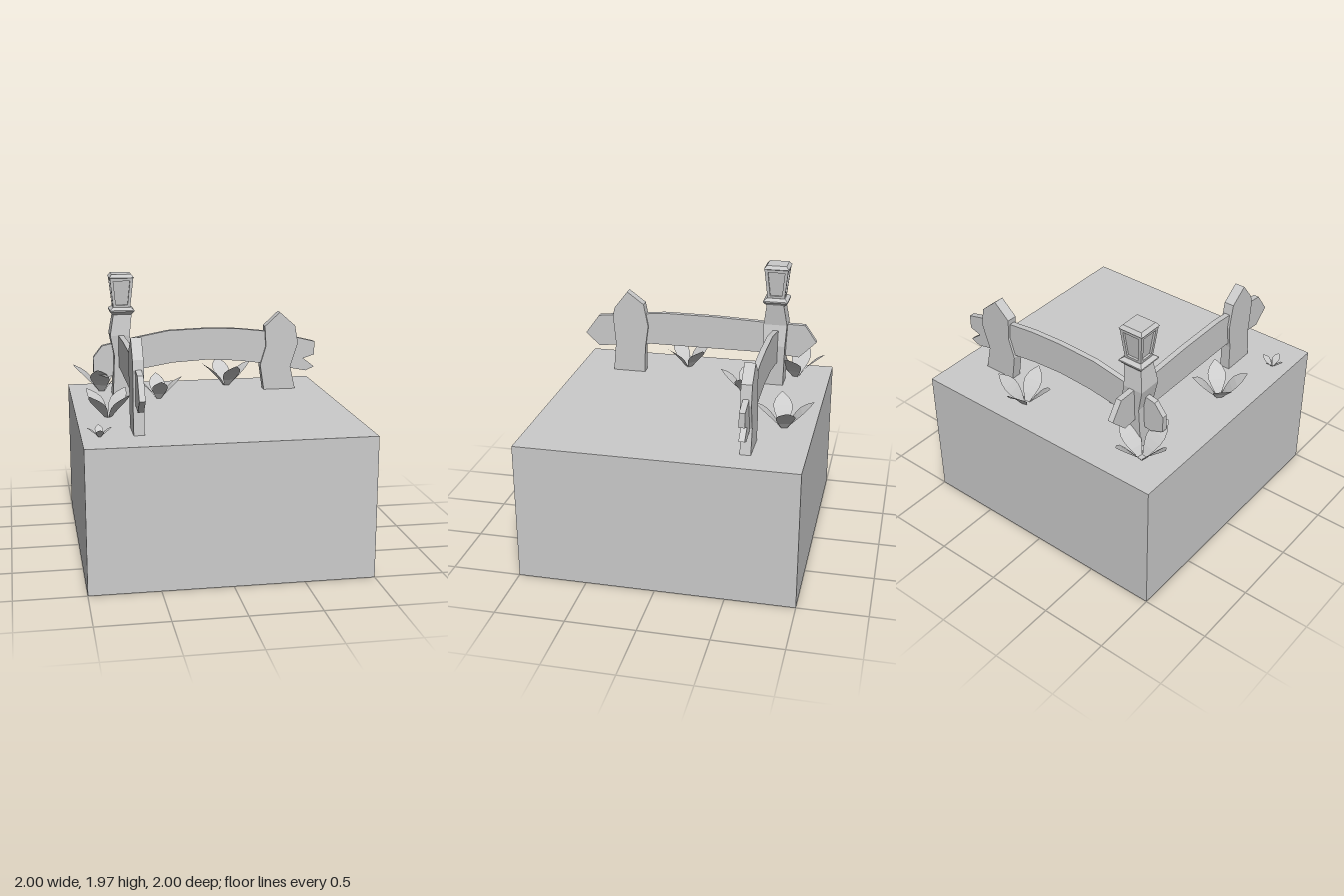
import * as THREE from 'three';

const grey = new THREE.MeshStandardMaterial({ color: 0xcccccc, flatShading: true });
const thin = new THREE.MeshStandardMaterial({ color: 0xcccccc, flatShading: true, side: THREE.DoubleSide });

function add(parent, name, geometry, material = grey) {
  const mesh = new THREE.Mesh(geometry, material);
  mesh.name = name;
  parent.add(mesh);
  return mesh;
}

const outline = (points) => new THREE.Shape(points.map(([x, y]) => new THREE.Vector2(x, y)));

// Flat board cut from an outline, centred on its thickness
function board(points, depth, hole) {
  const shape = outline(points);
  if (hole) shape.holes.push(outline(hole));
  return new THREE.ExtrudeGeometry(shape, { depth, bevelEnabled: false }).translate(0, 0, -depth / 2);
}

// Four-sided column through sections [y, centreX, centreZ, halfX, halfZ]
function column(sections) {
  const pos = [], idx = [];
  for (const [y, cx, cz, hx, hz] of sections) {
    for (const [sx, sz] of [[-1, 1], [1, 1], [1, -1], [-1, -1]]) pos.push(cx + sx * hx, y, cz + sz * hz);
  }
  for (let s = 0; s < sections.length - 1; s++) {
    for (let i = 0; i < 4; i++) {
      const a = s * 4 + i, b = s * 4 + (i + 1) % 4;
      idx.push(a, b, b + 4, a, b + 4, a + 4);
    }
  }
  const t = (sections.length - 1) * 4;
  idx.push(0, 2, 1, 0, 3, 2, t, t + 1, t + 2, t, t + 2, t + 3);
  const g = new THREE.BufferGeometry();
  g.setAttribute('position', new THREE.Float32BufferAttribute(pos, 3));
  g.setIndex(idx);
  const flat = g.toNonIndexed();
  flat.computeVertexNormals();
  return flat;
}

// Arching pointed leaf growing along +x; rows are [reach, rise, half width]
function leafGeometry() {
  const rows = [[0.1, 0, 0.09], [0.26, 0.26, 0.22], [0.42, 0.47, 0.31], [0.58, 0.65, 0.33],
    [0.76, 0.81, 0.25], [0.9, 0.92, 0.12], [1, 1, 0.01]];
  const g = new THREE.PlaneGeometry(1, 1, 1, rows.length - 1);
  const p = g.attributes.position;
  rows.forEach(([r, h, w], i) => {
    p.setXYZ(i * 2, r, h, -w);
    p.setXYZ(i * 2 + 1, r, h, w);
  });
  g.computeVertexNormals();
  return g;
}

export function createModel() {
  const model = new THREE.Group();
  model.name = 'fenceCorner';

  // Ground block
  add(model, 'groundBlock', new THREE.BoxGeometry(2, 1.02, 2).translate(0, 0.51, 0));

  // Rail and post running along x
  const fenceX = new THREE.Group();
  fenceX.name = 'backFence';
  fenceX.position.z = -0.59;
  model.add(fenceX);
  add(fenceX, 'backRail', board([
    [-0.82, 1.2], [-0.72, 1.16], [-0.5, 1.21], [-0.2, 1.26], [0.08, 1.275], [0.32, 1.26], [0.54, 1.23],
    [0.78, 1.18], [0.88, 1.16], [0.95, 1.19], [0.86, 1.26], [0.95, 1.29], [0.95, 1.395], [0.79, 1.435],
    [0.54, 1.49], [0.33, 1.515], [0.08, 1.525], [-0.23, 1.515], [-0.5, 1.465], [-0.75, 1.41], [-0.82, 1.32],
  ], 0.042));
  add(fenceX, 'backPost', board([
    [0.535, 1.02], [0.79, 1.02], [0.75, 1.2], [0.81, 1.39], [0.785, 1.53], [0.66, 1.64],
    [0.54, 1.53], [0.55, 1.37], [0.505, 1.22],
  ], 0.077));

  // Rail and post running along z
  const fenceZ = new THREE.Group();
  fenceZ.name = 'sideFence';
  fenceZ.position.x = -0.606;
  fenceZ.rotation.y = -Math.PI / 2;
  model.add(fenceZ);
  add(fenceZ, 'sideRail', board([
    [-0.9, 1.365], [-0.77, 1.235], [-0.5, 1.255], [0.4, 1.255], [0.65, 1.23], [0.83, 1.21], [0.94, 1.31],
    [0.83, 1.46], [0.7, 1.475], [0.45, 1.5], [0.3, 1.515], [-0.1, 1.515], [-0.5, 1.5], [-0.81, 1.495],
  ], 0.042));
  add(fenceZ, 'sidePost', board([
    [0.455, 1.02], [0.71, 1.02], [0.69, 1.25], [0.71, 1.47], [0.695, 1.54], [0.59, 1.675],
    [0.46, 1.58], [0.425, 1.4], [0.45, 1.22],
  ], 0.075));

  // Crooked lamp post
  const cx = -0.595, cz = -0.585;
  add(model, 'lampPost', column([
    [1.02, -0.595, -0.58, 0.08, 0.08], [1.34, -0.583, cz, 0.077, 0.082],
    [1.5, -0.615, cz, 0.075, 0.09], [1.67, -0.59, -0.582, 0.07, 0.064],
  ]));

  // Lantern with a recessed pane in each side
  const lantern = new THREE.Group();
  lantern.name = 'lantern';
  lantern.position.set(cx, 0, cz);
  model.add(lantern);
  add(lantern, 'collar', column([
    [1.66, 0, 0, 0.072, 0.072], [1.685, 0, 0, 0.094, 0.094], [1.695, 0, 0, 0.094, 0.094], [1.715, 0, 0, 0.068, 0.068],
  ]));
  add(lantern, 'panes', column([[1.71, 0, 0, 0.05, 0.05], [1.945, 0, 0, 0.075, 0.075]]));
  const frame = board([[-0.065, 0], [0.065, 0], [0.09, 0.235], [-0.09, 0.235]], 0.016,
    [[-0.045, 0.022], [-0.064, 0.21], [0.064, 0.21], [0.045, 0.022]]);
  frame.translate(0, 0, -0.008).rotateX(Math.atan2(0.025, 0.235)).translate(0, 1.71, 0.065);
  for (let i = 0; i < 4; i++) add(lantern, 'paneFrame', frame).rotation.y = i * Math.PI / 2;
  add(lantern, 'roof', column([
    [1.94, 0, 0, 0.088, 0.088], [1.945, 0, 0, 0.095, 0.095], [1.97, 0, 0, 0.075, 0.075],
  ]));

  // Four-leaved plants: [x, z, reach, height, yaw]
  const leaf = leafGeometry();
  const plants = [
    [-0.745, -0.735, 0.23, 0.21, -0.2],
    [0.27, -0.78, 0.21, 0.19, 0.22],
    [-0.335, -0.39, 0.182, 0.165, 0],
    [-0.77, 0.14, 0.2, 0.185, Math.PI / 4],
    [-0.875, 0.69, 0.085, 0.065, 0],
  ];
  for (const [x, z, reach, height, yaw] of plants) {
    const plant = new THREE.Group();
    plant.name = 'plant';
    plant.position.set(x, 1.02, z);
    plant.rotation.y = yaw;
    model.add(plant);
    for (let i = 0; i < 4; i++) {
      const blade = add(plant, 'leaf', leaf, thin);
      blade.scale.set(reach, height, reach);
      blade.rotation.y = i * Math.PI / 2;
    }
  }
  return model;
}
